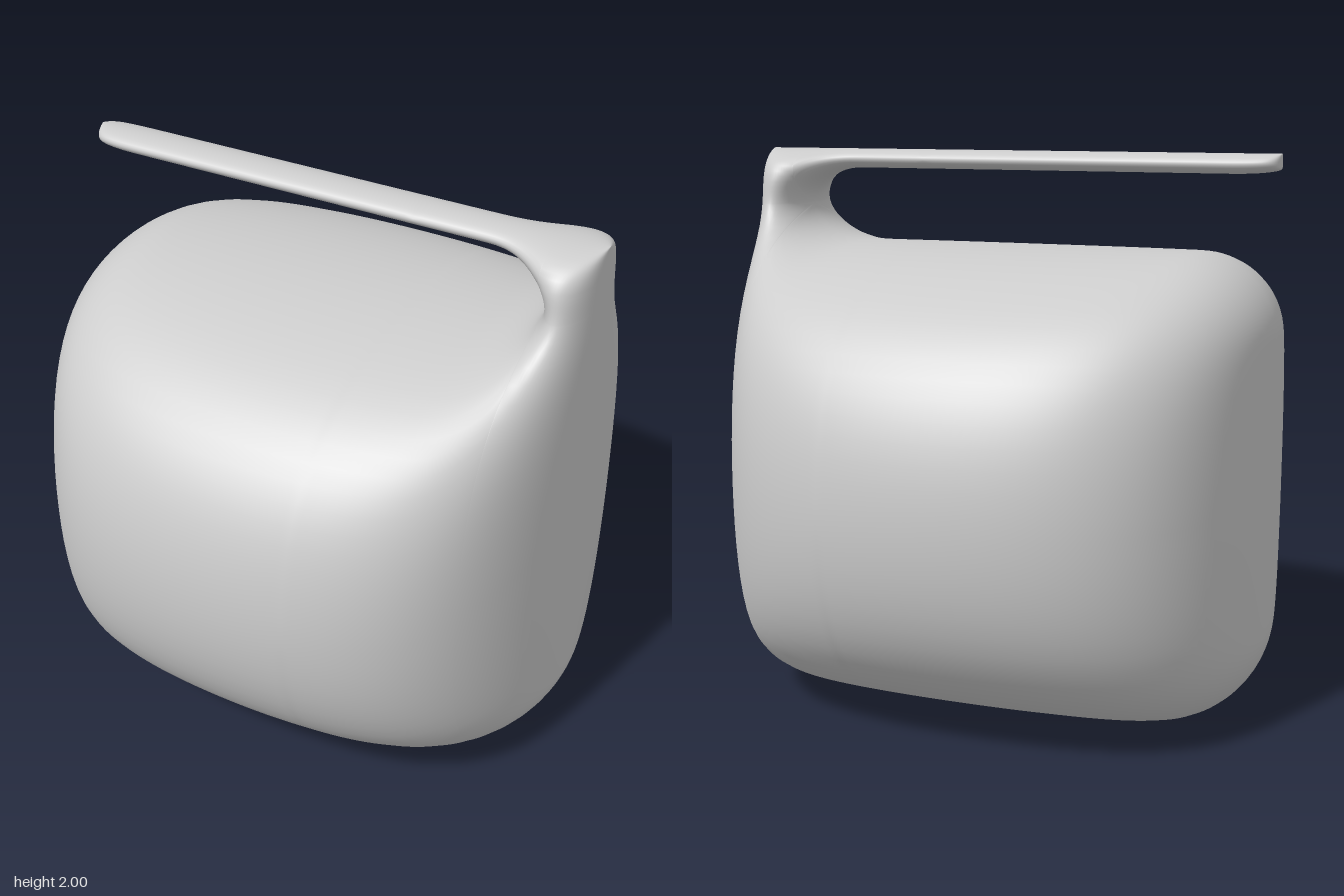
import * as THREE from 'three';

// Outline dimensions
const X = 0.975, TOP = 2, SHOULDER = 1.66, TIP_X = 0.81, TIP_Y = 1.8, HANDLE_Y = 1.93;
const DEPTH = 0.995, STIFFNESS = 8.5;
const COLS_A = 80, COLS = 104, BODY_ROWS = 36, HANDLE_ROWS = 16;

const ease = t => (1 - Math.cos(Math.PI * t)) / 2;
// 0 before `start`, rising along an elliptical quarter arc to 1 at `end`
const arc = (x, start, end) => {
  const t = THREE.MathUtils.clamp((x - start) / (end - start), 0, 1);
  return 1 - Math.sqrt(1 - t * t);
};

// Upper and lower edges of the outline at each x
const bodyBottom = x => 0.31 * arc(x, -0.67, -X) + 0.23 * arc(x, 0.63, X);
const bodyTop = x => x >= TIP_X ? TIP_Y
  : SHOULDER - 0.3 * arc(x, -0.67, -X) + (TIP_Y - SHOULDER) * arc(x, 0.6, TIP_X);
const handleBottom = x => x >= TIP_X ? TIP_Y
  : HANDLE_Y + 0.02 * arc(x, -0.8, -X) - (HANDLE_Y - TIP_Y) * arc(x, 0.6, TIP_X);

const columnX = i => i <= COLS_A
  ? -X + (TIP_X + X) * ease(i / COLS_A)
  : TIP_X + (X - TIP_X) * ease((i - COLS_A) / (COLS - COLS_A));

// Flat grid of the body and of the handle, joined along the post
function buildSheet() {
  const pts = [], fixed = [];
  const strip = (rows, low, high, below) => {
    const ids = [], tris = [];
    for (let i = 0; i <= COLS; i++) {
      const x = columnX(i), y0 = low(x), y1 = high(x), col = [];
      for (let j = 0; j <= rows; j++) {
        if (j === 0 && below && i >= COLS_A) { col.push(below[i][BODY_ROWS]); continue; }
        const inPost = !below && j === rows && i > COLS_A;
        col.push(pts.length);
        pts.push([x, y0 + (y1 - y0) * ease(j / rows)]);
        fixed.push(i === 0 || i === COLS || ((j === 0 || j === rows) && !inPost));
      }
      ids.push(col);
    }
    for (let i = 0; i < COLS; i++) for (let j = 0; j < rows; j++) {
      const a = ids[i][j], b = ids[i + 1][j], c = ids[i + 1][j + 1], d = ids[i][j + 1];
      if ((i < COLS / 2) !== (j < rows / 2)) tris.push([a, b, d], [b, c, d]);
      else tris.push([a, b, c], [a, c, d]);
    }
    return { ids, tris };
  };
  const body = strip(BODY_ROWS, bodyBottom, bodyTop, null);
  const handle = strip(HANDLE_ROWS, handleBottom, () => TOP, body.ids);
  return { pts, fixed, body: body.tris, handle: handle.tris };
}

// Inflate the sheet like a membrane pinned at its outline; returns half depths
function inflate({ pts, fixed, body, handle }) {
  const n = pts.length, mass = new Float64Array(n), diag = new Float64Array(n);
  const edges = [];
  for (const t of [...body, ...handle]) {
    const [p, q, r] = t.map(k => pts[k]);
    const area2 = (q[0] - p[0]) * (r[1] - p[1]) - (q[1] - p[1]) * (r[0] - p[0]);
    for (let k = 0; k < 3; k++) {
      const o = t[k], u = t[(k + 1) % 3], v = t[(k + 2) % 3];
      const dot = (pts[u][0] - pts[o][0]) * (pts[v][0] - pts[o][0])
        + (pts[u][1] - pts[o][1]) * (pts[v][1] - pts[o][1]);
      const w = dot / (2 * area2);
      mass[o] += area2 / 6;
      diag[u] += w;
      diag[v] += w;
      if (!fixed[u] && !fixed[v]) edges.push([u, v, w]);
    }
  }
  for (let i = 0; i < n; i++) diag[i] += STIFFNESS * mass[i];

  // Conjugate gradients with diagonal scaling
  const phi = new Float64Array(n), res = mass.map((m, i) => fixed[i] ? 0 : m);
  const scaled = () => res.map((v, i) => fixed[i] ? 0 : v / diag[i]);
  const dot = (a, b) => a.reduce((s, v, i) => s + v * b[i], 0);
  let z = scaled(), rz = dot(res, z);
  const dir = z.slice(), stop = rz * 1e-16;
  for (let it = 0; it < 2500 && rz > stop; it++) {
    const Ad = dir.map((v, i) => v * diag[i]);
    for (const [u, v, w] of edges) {
      Ad[u] -= w * dir[v];
      Ad[v] -= w * dir[u];
    }
    const step = rz / dot(dir, Ad);
    for (let i = 0; i < n; i++) {
      phi[i] += step * dir[i];
      res[i] -= step * Ad[i];
    }
    z = scaled();
    const next = dot(res, z);
    for (let i = 0; i < n; i++) dir[i] = z[i] + (next / rz) * dir[i];
    rz = next;
  }
  const peak = phi.reduce((m, v) => Math.max(m, v), 0);
  return Array.from(phi, v => DEPTH * Math.sqrt(Math.max(v, 0) / peak));
}

export function createModel() {
  const sheet = buildSheet(), depth = inflate(sheet);
  const { pts, fixed } = sheet, position = [];

  // Front points, then mirrored back points; the outline is shared
  pts.forEach((p, i) => position.push(p[0], p[1], depth[i]));
  const back = pts.map((p, i) => {
    if (fixed[i]) return i;
    position.push(p[0], p[1], -depth[i]);
    return position.length / 3 - 1;
  });
  const bothSides = tris => tris.flatMap(([a, b, c]) => [a, b, c, back[a], back[c], back[b]]);

  const whole = new THREE.BufferGeometry();
  whole.setAttribute('position', new THREE.Float32BufferAttribute(position, 3));
  whole.setIndex(bothSides([...sheet.body, ...sheet.handle]));
  whole.computeVertexNormals();

  const grey = new THREE.MeshStandardMaterial({ color: 0xcccccc });
  grey.name = 'light grey';
  const group = new THREE.Group();
  group.name = 'inflatedVessel';

  // Body and handle share points and normals so the post blends smoothly
  for (const name of ['body', 'handle']) {
    const geometry = new THREE.BufferGeometry();
    geometry.setAttribute('position', whole.getAttribute('position'));
    geometry.setAttribute('normal', whole.getAttribute('normal'));
    geometry.setIndex(bothSides(sheet[name]));
    const mesh = new THREE.Mesh(geometry, grey);
    mesh.name = name;
    group.add(mesh);
  }
  return group;
}
